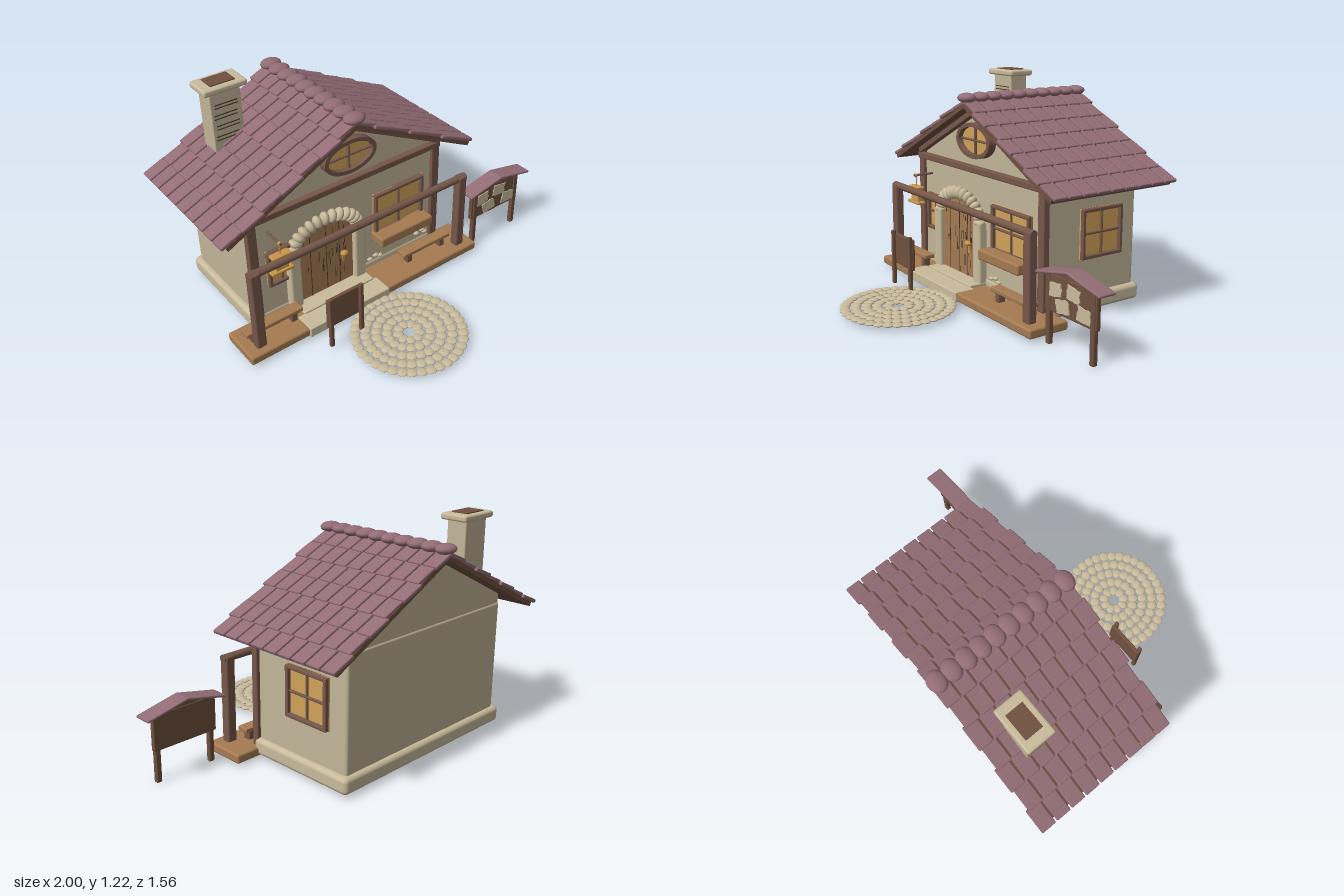
import * as THREE from 'three';
import { RoundedBoxGeometry } from 'three/addons/geometries/RoundedBoxGeometry.js';

const mat = (name, color) => Object.assign(new THREE.MeshStandardMaterial({ color }), { name });

export function createModel() {
  const wall = mat('plaster', 0xc2b598), stone = mat('stone', 0xc9bb9c), tile = mat('roof tile', 0x936d76);
  const dark = mat('dark timber', 0x70513f), trim = mat('brown timber', 0x76574a), plank = mat('light timber', 0xa57b52);
  const gold = mat('warm glass', 0xd0a359), brass = mat('brass', 0xc99645), line = mat('dark line', 0x4a382c);

  const root = new THREE.Group();
  const CX = -0.205; // centre line of the house
  let seed = 7;
  const rnd = () => (seed = (seed * 16807) % 2147483647) / 2147483647;

  const group = (name, parent = root) => {
    const g = new THREE.Group();
    g.name = name;
    parent.add(g);
    return g;
  };
  const add = (name, geo, m, x = 0, y = 0, z = 0, parent = root) => {
    const mesh = new THREE.Mesh(geo, m);
    mesh.name = name;
    mesh.position.set(x, y, z);
    parent.add(mesh);
    return mesh;
  };
  // Softened box given by its limits on each axis
  const box = (name, m, [x0, x1], [y0, y1], [z0, z1], parent = root, r = 0.006) => {
    const s = [x1 - x0, y1 - y0, z1 - z0];
    const rad = Math.min(r, Math.min(...s) * 0.45);
    const geo = r ? new RoundedBoxGeometry(...s, 2, rad) : new THREE.BoxGeometry(...s);
    return add(name, geo, m, (x0 + x1) / 2, (y0 + y1) / 2, (z0 + z1) / 2, parent);
  };
  const extrude = (shape, depth) => new THREE.ExtrudeGeometry(shape, { depth, bevelEnabled: false, curveSegments: 32 });
  const poly = pts => new THREE.Shape(pts.map(p => new THREE.Vector2(...p)));
  const ball = new THREE.SphereGeometry(1, 16, 10);
  const pebble = (name, m, p, s, parent) => {
    const b = add(name, ball, m, ...p, parent);
    b.scale.set(...s);
    return b;
  };

  // House body, footing and gable
  box('walls', wall, [-0.8, 0.39], [0.05, 0.715], [-0.665, -0.05], root, 0.015);
  box('footing', stone, [-0.83, 0.42], [0.02, 0.11], [-0.69, -0.045], root, 0.025);
  add('gable', extrude(poly([[-0.79, 0.7], [0.38, 0.7], [0.38, 0.765], [CX, 1.06], [-0.79, 0.765]]), 0.605), wall, 0, 0, -0.66);

  // Front timber frame
  const frame = group('timberFrame');
  for (const s of [-1, 1]) box('cornerPost', trim, [CX + s * 0.59 - 0.026, CX + s * 0.59 + 0.026], [0.065, 0.74], [-0.068, -0.03], frame);
  box('tieBeam', trim, [-0.82, 0.41], [0.69, 0.727], [-0.065, -0.022], frame);
  const slope = Math.atan(0.503);
  for (const s of [-1, 1]) {
    const rafter = box('rafter', trim, [-0.34, 0.34], [-0.022, 0.022], [-0.065, -0.02], frame);
    rafter.position.x = CX + s * 0.303;
    rafter.position.y = 0.893;
    rafter.rotation.z = -s * slope;
  }

  // Roof: a timber slab on each side carrying staggered rows of tiles
  const roof = group('roof');
  const tileGeo = new RoundedBoxGeometry(0.136, 0.02, 0.083, 1, 0.006);
  for (const s of [-1, 1]) {
    const side = group('roofSide', roof);
    side.position.set(CX, 1.107, 0);
    side.rotation.z = -s * slope;
    add('roofDeck', new THREE.BoxGeometry(0.87, 0.024, 0.8), dark, s * 0.435, -0.034, -0.355, side);
    for (let i = 0; i < 7; i++) for (let j = 0; j < 9; j++) {
      const t = add('tile', tileGeo, tile, s * (0.064 + i * 0.1265), -0.014, 0.011 - j * 0.0915 + (i % 2 ? 0.007 : -0.007), side);
      t.rotation.z = s * 0.06;
    }
  }
  for (let i = 0; i < 10; i++) pebble('ridgeCap', tile, [CX, 1.11, 0.022 - i * 0.0838], [0.06, 0.027, 0.049], roof);

  // Chimney with recessed flue and brick courses
  const chimney = group('chimney');
  box('shaft', wall, [-0.7, -0.525], [0.78, 1.19], [-0.615, -0.5], chimney);
  box('cap', stone, [-0.735, -0.49], [1.178, 1.213], [-0.635, -0.477], chimney, 0.012);
  box('flue', dark, [-0.682, -0.542], [1.2, 1.218], [-0.606, -0.51], chimney, 0);
  for (const [i, y] of [1.108, 1.09, 1.05, 1.03, 0.99, 0.97, 0.93, 0.91].entries()) {
    const x = i % 4 < 2 ? -0.612 : -0.62;
    box('course', line, [x - 0.065, x + 0.065], [y, y + 0.005], [-0.501, -0.497], chimney, 0);
  }

  // Rectangular window in the xy plane, facing +z
  const makeWindow = (name, w, h, x, y, z, f = 0.02) => {
    const g = group(name);
    g.position.set(x, y, z);
    box('glass', gold, [-w / 2, w / 2], [-h / 2, h / 2], [0, 0.009], g, 0);
    for (const s of [-1, 1]) {
      const a = s * (w - f) / 2, b = s * (h - f) / 2;
      box('jamb', trim, [a - f / 2, a + f / 2], [-h / 2, h / 2], [-0.01, 0.03], g);
      box('rail', trim, [-w / 2, w / 2], [b - f / 2, b + f / 2], [-0.01, 0.03], g);
    }
    box('mullion', trim, [-0.007, 0.007], [-h / 2, h / 2], [0, 0.02], g);
    box('crossBar', trim, [-w / 2, w / 2], [-0.007, 0.007], [0, 0.02], g);
    return g;
  };
  makeWindow('frontWindow', 0.34, 0.26, 0.125, 0.42, -0.05);
  makeWindow('smallWindow', 0.17, 0.22, -0.64, 0.385, -0.05);
  makeWindow('sideWindow', 0.275, 0.27, 0.39, 0.44, -0.418).rotation.y = Math.PI / 2;
  box('windowBox', plank, [-0.06, 0.305], [0.25, 0.31], [-0.05, 0.055], root, 0.012);

  // Oval gable window
  const oval = group('ovalWindow');
  oval.position.set(CX, 0.873, -0.055);
  const ring = new THREE.Shape().absellipse(0, 0, 0.162, 0.098, 0, Math.PI * 2);
  ring.holes.push(new THREE.Path().absellipse(0, 0, 0.138, 0.076, 0, Math.PI * 2));
  add('frame', extrude(ring, 0.045), trim, 0, 0, 0, oval);
  add('glass', extrude(new THREE.Shape().absellipse(0, 0, 0.142, 0.08, 0, Math.PI * 2), 0.008), gold, 0, 0, 0.008, oval);
  box('mullion', trim, [-0.006, 0.006], [-0.08, 0.08], [0, 0.03], oval);
  box('crossBar', trim, [-0.142, 0.142], [-0.006, 0.006], [0, 0.03], oval);

  // Arched plank door with grain, handle and stone surround
  const door = group('door');
  const DX = -0.37;
  const leaf = new THREE.Shape();
  leaf.moveTo(-0.18, 0.07);
  leaf.lineTo(0.18, 0.07);
  leaf.lineTo(0.18, 0.42);
  leaf.absellipse(0, 0.42, 0.18, 0.13, 0, Math.PI);
  leaf.closePath();
  add('leaf', extrude(leaf, 0.03), plank, DX, 0, -0.06, door);
  for (const x of [-0.1, 0, 0.085]) box('plankGap', line, [DX + x - 0.002, DX + x + 0.002], [0.08, 0.51], [-0.031, -0.028], door, 0);
  for (let i = 0; i < 22; i++) {
    const x = DX - 0.14 + rnd() * 0.28, y = 0.12 + rnd() * 0.32, h = 0.025 + rnd() * 0.06;
    box('grain', line, [x - 0.002, x + 0.002], [y, y + h], [-0.031, -0.028], door, 0).rotation.z = (rnd() - 0.5) * 0.25;
  }
  pebble('handle', brass, [-0.263, 0.28, -0.015], [0.024, 0.015, 0.018], door);
  box('handlePlate', brass, [-0.272, -0.255], [0.22, 0.29], [-0.031, -0.023], door, 0);
  for (const s of [-1, 1]) box('pillar', stone, [DX + s * 0.207 - 0.036, DX + s * 0.207 + 0.036], [0.065, 0.43], [-0.06, -0.002], door, 0.015);
  for (let i = 0; i <= 14; i++) {
    const a = i / 14 * Math.PI;
    const v = pebble('archStone', stone, [DX + Math.cos(a) * 0.205, 0.42 + Math.sin(a) * 0.132, -0.03], [0.04, 0.024, 0.032], door);
    v.rotation.z = a;
  }
  box('threshold', stone, [-0.58, -0.125], [0.06, 0.082], [-0.05, 0.06], door);
  box('doorStep', stone, [-0.62, -0.1], [0.013, 0.071], [0.05, 0.172], door);

  // Porch deck, posts and rail
  const porch = group('porch');
  box('deck', plank, [-0.965, 0.555], [0.015, 0.065], [-0.08, 0.16], porch, 0.012);
  for (const x of [-0.877, 0.463]) box('post', trim, [x - 0.028, x + 0.028], [0.06, 0.535], [0.068, 0.12], porch, 0.01);
  add('rail', new THREE.CylinderGeometry(0.021, 0.021, 1.4, 16), trim, CX, 0.521, 0.094, porch).rotation.z = Math.PI / 2;

  // Benches
  for (const x of [-0.765, 0.255]) {
    const bench = group('bench');
    box('seat', plank, [x - 0.17, x + 0.17], [0.115, 0.14], [0.005, 0.072], bench);
    for (const s of [-1, 1]) box('leg', trim, [x + s * 0.12 - 0.018, x + s * 0.12 + 0.018], [0.06, 0.12], [0.02, 0.062], bench);
  }

  // Hanging lantern on its bracket
  const lantern = group('lantern');
  add('bracket', new THREE.CylinderGeometry(0.007, 0.007, 0.13, 10), trim, -0.7, 0.61, 0.012, lantern).rotation.x = Math.PI / 2;
  pebble('knob', brass, [-0.7, 0.61, 0.065], [0.011, 0.011, 0.011], lantern);
  add('chain', new THREE.CylinderGeometry(0.004, 0.004, 0.08, 8), brass, -0.7, 0.57, 0.062, lantern);
  box('lanternTop', brass, [-0.755, -0.645], [0.53, 0.546], [0.038, 0.086], lantern);
  box('lanternGlass', gold, [-0.738, -0.662], [0.455, 0.535], [0.046, 0.078], lantern);
  box('lanternBase', brass, [-0.765, -0.637], [0.44, 0.457], [0.036, 0.088], lantern);

  // Small sign beside the path
  const sign = group('pathSign');
  box('board', dark, [-0.585, -0.37], [0.14, 0.32], [0.265, 0.284], sign);
  for (const x of [-0.572, -0.383]) box('leg', dark, [x - 0.012, x + 0.012], [0.02, 0.337], [0.28, 0.302], sign);

  // Notice board with a little roof and torn papers
  const notice = group('noticeBoard');
  box('board', dark, [0.575, 0.95], [0.17, 0.36], [0.062, 0.088], notice);
  for (const x of [0.603, 0.926]) box('leg', dark, [x - 0.015, x + 0.015], [0, 0.37], [0.066, 0.094], notice);
  for (const s of [-1, 1]) {
    const r = box('roofPanel', tile, [-0.121, 0.121], [-0.007, 0.007], [0.022, 0.122], notice);
    r.position.set(0.77 + s * 0.114, 0.38, 0.072);
    r.rotation.z = -s * 0.21;
  }
  add('gableBoard', extrude(poly([[0.58, 0.35], [0.96, 0.35], [0.77, 0.393]]), 0.02), dark, 0, 0, 0.065, notice);
  for (const [x, y, a] of [[0.657, 0.29, 0.1], [0.79, 0.3, -0.15], [0.71, 0.218, 0.2], [0.868, 0.222, -0.1]]) {
    const pts = [];
    for (let i = 0; i < 16; i++) {
      const t = i / 16 * Math.PI * 2, k = (0.9 + rnd() * 0.2) / Math.max(Math.abs(Math.cos(t)), Math.abs(Math.sin(t)));
      pts.push([Math.cos(t) * k * 0.046, Math.sin(t) * k * 0.034]);
    }
    add('paper', extrude(poly(pts), 0.005), stone, x, y, 0.088, notice).rotation.z = a;
  }

  // Round stone path in concentric rings
  const path = group('stonePath');
  for (let k = 0; k < 5; k++) {
    const r = 0.058 + k * 0.0565, n = 9 + k * 7, half = Math.PI * r / n;
    for (let i = 0; i < n; i++) {
      const a = (i + (k % 2) / 2) / n * Math.PI * 2;
      const p = pebble('pathStone', stone, [CX + Math.cos(a) * r, 0.027, 0.465 + Math.sin(a) * r], [0.028, 0.009, half * 1.2], path);
      p.rotation.y = -a;
    }
  }

  // Loose stones set in the foot of the wall
  for (const [x, y] of [[-0.07, 0.12], [-0.03, 0.13], [0.0, 0.115], [0.27, 0.14], [0.31, 0.15], [0.33, 0.13]])
    pebble('wallStone', stone, [x, y, -0.045], [0.018, 0.01, 0.014]);

  return root;
}
